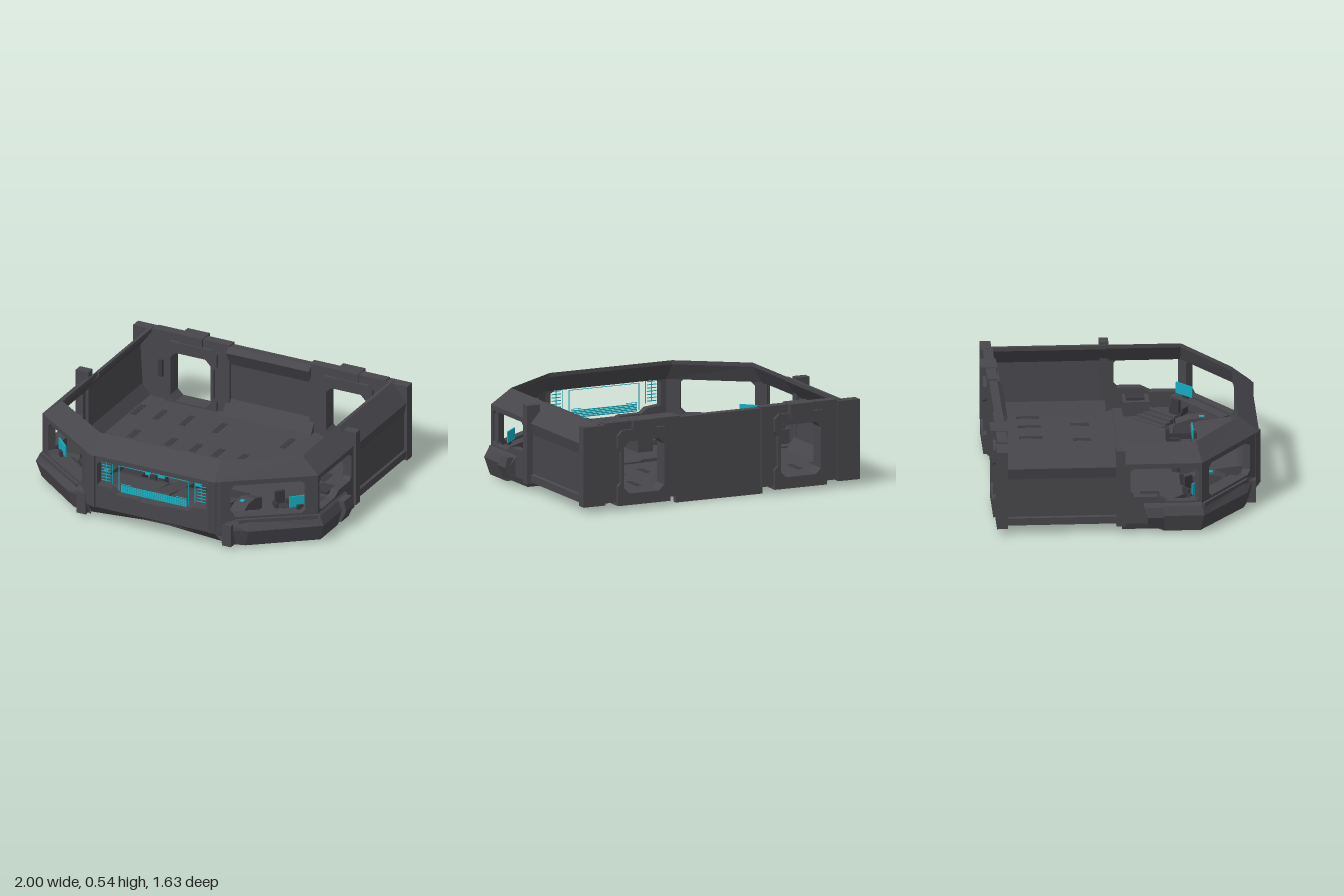
import * as THREE from 'three';

export function createModel() {
  const root = new THREE.Group();
  const mat = (name, color) => {
    const m = new THREE.MeshStandardMaterial({ color, side: THREE.DoubleSide });
    m.name = name;
    return m;
  };
  const hull = mat('hull grey', 0x47464b);
  const dark = mat('dark trim', 0x3a393e);
  const teal = mat('screen teal', 0x12adc0);

  // Mirrors a geometry across x and keeps its faces outward
  const mirrored = (geo) => {
    const g = geo.index ? geo.toNonIndexed() : geo.clone();
    g.scale(-1, 1, 1);
    const p = g.attributes.position;
    for (let i = 0; i < p.count; i += 3) {
      const b = [p.getX(i + 1), p.getY(i + 1), p.getZ(i + 1)];
      p.setXYZ(i + 1, p.getX(i + 2), p.getY(i + 2), p.getZ(i + 2));
      p.setXYZ(i + 2, ...b);
    }
    g.computeVertexNormals();
    return g;
  };
  const part = (name, geo, m = hull, both = false) => {
    const mesh = new THREE.Mesh(geo, m);
    mesh.name = both ? name + 'Left' : name;
    root.add(mesh);
    if (both) {
      const other = new THREE.Mesh(mirrored(geo), m);
      other.name = name + 'Right';
      root.add(other);
    }
  };
  const boxGeo = (x0, x1, y0, y1, z0, z1) =>
    new THREE.BoxGeometry(x1 - x0, y1 - y0, z1 - z0).translate((x0 + x1) / 2, (y0 + y1) / 2, (z0 + z1) / 2);
  const box = (name, b, m = hull, both = false) => part(name, boxGeo(...b), m, both);
  const pair = (name, b, m = hull) => box(name, b, m, true);

  const poly = (pts) => pts.map(([x, y]) => new THREE.Vector2(x, y));
  const chamfered = (a, b, y0, y1, c = 0.025) =>
    [[a + c, y0], [b - c, y0], [b, y0 + c], [b, y1 - c], [b - c, y1], [a + c, y1], [a, y1 - c], [a, y0 + c]];
  const plate = (pts, holes, depth) => {
    const s = new THREE.Shape(poly(pts));
    s.holes = holes.map((h) => new THREE.Path(poly(h)));
    return new THREE.ExtrudeGeometry(s, { depth, bevelEnabled: false });
  };
  // Upright wall from plan point p to q, outer face on the line
  const wall = (p, q, y0, y1, holes, t = 0.05) => {
    const dx = q[0] - p[0], dz = q[1] - p[1], l = Math.hypot(dx, dz);
    return plate([[0, y0], [l, y0], [l, y1], [0, y1]], holes, t)
      .translate(0, 0, -t).rotateY(Math.atan2(-dz, dx)).translate(p[0], 0, p[1]);
  };
  // Profile of (z, y) points extruded along x
  const alongX = (pts, x0, x1) =>
    plate(pts.map(([z, y]) => [-z, y]), [], x1 - x0).rotateY(Math.PI / 2).translate(x0, 0, 0);
  // Faceted skin through rows of [x, y, z] points
  const loft = (rows) => {
    const v = [];
    for (let i = 0; i < rows.length - 1; i++)
      for (let j = 0; j < rows[i].length - 1; j++) {
        const a = rows[i][j], b = rows[i][j + 1], c = rows[i + 1][j + 1], d = rows[i + 1][j];
        v.push(...a, ...b, ...c, ...a, ...c, ...d);
      }
    const g = new THREE.BufferGeometry();
    g.setAttribute('position', new THREE.Float32BufferAttribute(v, 3));
    g.computeVertexNormals();
    return g;
  };
  const level = (half, y) =>
    [...half.map(([x, z]) => [-x, y, z]).reverse(), ...half.map(([x, z]) => [x, y, z])];

  // Sloped rim around the front cabin
  const outer = [[0.42, 0.80], [0.93, 0.43], [0.93, -0.05]];
  const rimTop = [[0.41, 0.68], [0.81, 0.40], [0.81, -0.05]];
  const inner = [[0.40, 0.74], [0.87, 0.40], [0.87, -0.05]];
  part('frontRim', loft([level(inner, 0.41), level(outer, 0.41), level(outer, 0.44),
    level(rimTop, 0.535), level(rimTop, 0.51), level(inner, 0.41)]));

  // Window walls
  part('frontWall', wall([-0.42, 0.80], [0.42, 0.80], 0.10, 0.43, [[
    [0.05, 0.25], [0.14, 0.24], [0.18, 0.21], [0.32, 0.21], [0.34, 0.20], [0.50, 0.20], [0.52, 0.21],
    [0.66, 0.21], [0.70, 0.24], [0.79, 0.25], [0.79, 0.39], [0.76, 0.41], [0.08, 0.41], [0.05, 0.39]]]));
  part('angledWall', wall([0.42, 0.80], [0.93, 0.43], 0.10, 0.43, [chamfered(0.10, 0.555, 0.20, 0.41)]), hull, true);
  part('sideWall', wall([0.93, 0.43], [0.93, -0.05], 0.06, 0.43, [[
    [0.04, 0.20], [0.21, 0.20], [0.27, 0.23], [0.41, 0.23], [0.43, 0.25], [0.43, 0.39],
    [0.41, 0.41], [0.04, 0.41], [0.02, 0.39], [0.02, 0.22]]]), hull, true);
  part('frontCornerRib', wall([0.385, 0.812], [0.455, 0.78], 0.10, 0.44, [], 0.03), hull, true);
  part('frontChin', loft([[[0.42, 0.10, 0.80], [0, 0.10, 0.80], [-0.42, 0.10, 0.80]],
    [[0.44, 0.03, 0.74], [0, 0.06, 0.74], [-0.44, 0.03, 0.74]]]));

  // Flared lower skirt with side pods
  const at = (y, pts) => pts.map(([x, z]) => [x, y, z]);
  part('lowerSkirt', loft([
    at(0.20, [[0.42, 0.78], [0.56, 0.68], [0.92, 0.42], [0.92, 0.08]]),
    at(0.175, [[0.46, 0.765], [0.60, 0.685], [0.945, 0.43], [0.945, 0.08]]),
    at(0.12, [[0.46, 0.77], [0.61, 0.72], [0.97, 0.44], [0.97, 0.10]]),
    at(0.015, [[0.44, 0.74], [0.58, 0.70], [0.94, 0.42], [0.94, 0.20]])]), hull, true);
  part('podBlock', plate([[0.90, 0.04], [0.965, 0.04], [1.0, 0.12], [0.985, 0.18], [0.90, 0.18]], [], 0.10)
    .translate(0, 0, 0.10), hull, true);
  pair('skirtFoot', [0.46, 0.52, 0.02, 0.16, 0.68, 0.775]);
  pair('undersideStep', [0.80, 0.925, 0.025, 0.08, -0.05, 0.18], dark);

  // Shallow fan-shaped belly
  const edge = [[0, 0.06, 0.74], [0.44, 0.03, 0.74], [0.58, 0.015, 0.70], [0.94, 0.015, 0.42],
    [0.94, 0.015, 0.20], [0.92, 0.06, 0.08], [0.92, 0.06, -0.76], [0, 0.06, -0.78]];
  part('belly', loft([edge, edge.map(() => [0, 0.05, 0.1])]), hull, true);
  box('rearSill', [-0.29, 0.29, 0.005, 0.07, -0.765, -0.73]);

  // Floors with the shallow step between them
  box('rearFloor', [-0.90, 0.90, 0.062, 0.09, -0.76, 0]);
  part('frontFloor', plate([[-0.92, 0.01], [-0.15, 0.01], [-0.11, -0.035], [0.11, -0.035], [0.15, 0.01],
    [0.92, 0.01], [0.92, -0.42], [0.42, -0.76], [-0.42, -0.76], [-0.92, -0.42]], [], 0.035)
    .rotateX(-Math.PI / 2).translate(0, 0.065, 0));
  for (const x of [0.08, 0.23, 0.40, 0.65]) pair('floorHatch', [x - 0.02, x + 0.02, 0.088, 0.092, -0.27, -0.16], dark);
  for (const x of [0.23, 0.45, 0.63, 0.78]) pair('floorPanel', [x - 0.018, x + 0.018, 0.088, 0.092, -0.59, -0.45], dark);

  // Rear room side walls
  part('rearSideWall', plate([[0.92, 0.06], [0.92, 0.105], [0.905, 0.11], [0.905, 0.35], [0.92, 0.42],
    [0.82, 0.535], [0.80, 0.535], [0.80, 0.51], [0.875, 0.41], [0.86, 0.16], [0.81, 0.09], [0.81, 0.06]], [], 0.72)
    .translate(0, 0, -0.77), hull, true);
  pair('middlePost', [0.86, 0.945, 0.05, 0.53, -0.085, -0.03]);
  pair('rearPost', [0.78, 0.925, 0.04, 0.53, -0.80, -0.735]);

  // Back wall and doorways
  const door = (x) => chamfered(x - 0.135, x + 0.135, 0.10, 0.42, 0.035);
  part('backWall', plate([[-0.80, 0.05], [0.80, 0.05], [0.80, 0.525], [-0.80, 0.525]],
    [door(-0.525), door(0.525)], 0.035).translate(0, 0, -0.78));
  part('backWallCap', alongX([[-0.78, 0.50], [-0.78, 0.53], [-0.73, 0.53], [-0.70, 0.50], [-0.745, 0.41], [-0.745, 0.50]], -0.28, 0.28));
  part('backWallBase', alongX([[-0.75, 0.09], [-0.69, 0.09], [-0.745, 0.18]], -0.30, 0.30));
  part('doorPanel', plate([[0.27, 0.05], [0.78, 0.05], [0.78, 0.54], [0.27, 0.54]], [door(0.525)], 0.06)
    .translate(0, 0, -0.79), hull, true);
  part('doorFrame', plate([[0.35, 0.03], [0.70, 0.03], [0.70, 0.15], [0.68, 0.17], [0.68, 0.36], [0.70, 0.38],
    [0.70, 0.46], [0.67, 0.49], [0.38, 0.49], [0.35, 0.46], [0.35, 0.38], [0.37, 0.36], [0.37, 0.17], [0.35, 0.15]],
    [door(0.525)], 0.10).translate(0, 0, -0.81), hull, true);
  pair('doorHeader', [0.45, 0.60, 0.46, 0.545, -0.82, -0.72]);
  pair('doorHandle', [0.715, 0.745, 0.24, 0.35, -0.735, -0.71], dark);

  // Forward consoles
  part('frontDesk', alongX([[0.43, 0.09], [0.43, 0.17], [0.49, 0.19], [0.68, 0.215], [0.76, 0.20], [0.76, 0.09]], 0.055, 0.41), hull, true);
  pair('deskStep', [0.07, 0.40, 0.09, 0.13, 0.37, 0.44]);
  pair('deskSidePanel', [0.27, 0.41, 0.09, 0.165, 0.33, 0.44], dark);
  part('centerConsole', alongX([[0.22, 0.09], [0.22, 0.19], [0.30, 0.20], [0.36, 0.16], [0.66, 0.22], [0.76, 0.20], [0.76, 0.09]], -0.05, 0.05));
  box('centerDisplay', [-0.02, 0.02, 0.194, 0.20, 0.235, 0.26], teal);
  part('cornerDesk', alongX([[0.35, 0.09], [0.35, 0.17], [0.44, 0.20], [0.53, 0.20], [0.60, 0.17], [0.64, 0.09]], 0.42, 0.51), hull, true);
  pair('cornerDisplay', [0.445, 0.47, 0.198, 0.204, 0.49, 0.52], teal);
  pair('deskScreen', [0.105, 0.235, 0.19, 0.25, 0.43, 0.437], teal);
  pair('deskScreenStand', [0.15, 0.19, 0.16, 0.21, 0.438, 0.46], dark);

  // Side stations along the angled walls
  const turned = (g, x, z, a) => g.rotateY(a).translate(x, 0, z);
  part('sideDesk', turned(boxGeo(-0.24, 0.24, 0.09, 0.185, -0.06, 0.07), 0.70, 0.53, 0.63), hull, true);
  part('sideDeskShelf', turned(boxGeo(-0.18, 0.18, 0.09, 0.14, -0.12, -0.06), 0.70, 0.53, 0.63), dark, true);
  part('sideScreen', turned(boxGeo(-0.065, 0.065, 0.205, 0.275, -0.004, 0.004), 0.80, 0.42, 0.785), teal, true);
  part('sideScreenStand', turned(boxGeo(-0.02, 0.02, 0.17, 0.22, 0.005, 0.02), 0.80, 0.42, 0.785), dark, true);
  pair('sideCabinet', [0.74, 0.89, 0.09, 0.19, 0.05, 0.21]);
  pair('sideCabinetTop', [0.77, 0.86, 0.19, 0.205, 0.07, 0.18], dark);
  for (let i = 0; i < 4; i++)
    part('sideStep', turned(boxGeo(-0.12, 0.12, 0.09, 0.105 + i * 0.012, -0.015, 0.015),
      0.63 + i * 0.025, 0.20 + i * 0.025, 0.785), hull, true);

  // Crew chairs
  const chair = (x, z, a) => {
    const pieces = {
      chairBase: new THREE.CylinderGeometry(0.025, 0.035, 0.06, 8).translate(0, 0.12, 0),
      chairSeat: boxGeo(-0.04, 0.04, 0.145, 0.165, -0.035, 0.04),
      chairBack: boxGeo(-0.03, 0.03, 0.165, 0.245, -0.045, -0.025),
      chairArmA: boxGeo(-0.048, -0.036, 0.165, 0.19, -0.03, 0.03),
      chairArmB: boxGeo(0.036, 0.048, 0.165, 0.19, -0.03, 0.03),
    };
    for (const [name, g] of Object.entries(pieces)) part(name, turned(g, x, z, a), dark, true);
  };
  chair(0.17, 0.32, 0);
  chair(0.66, 0.38, 0.9);

  // Projected display in the front window
  const bar = (b, both) => box('windowDisplay', [...b, 0.772, 0.776], teal, both);
  for (let i = 0; i < 5; i++) bar([-0.22, 0.22, 0.222 + i * 0.01, 0.229 + i * 0.01]);
  bar([-0.16, 0.16, 0.408, 0.412]);
  bar([-0.23, 0.23, 0.392, 0.395]);
  bar([0.232, 0.236, 0.23, 0.395], true);
  bar([0.15, 0.22, 0.275, 0.278], true);
  for (let i = 0; i < 7; i++) bar([0.29, 0.35, 0.275 + i * 0.02, 0.28 + i * 0.02], true);
  bar([0.277, 0.281, 0.265, 0.405], true);
  bar([0.318, 0.322, 0.275, 0.40], true);

  return root;
}
